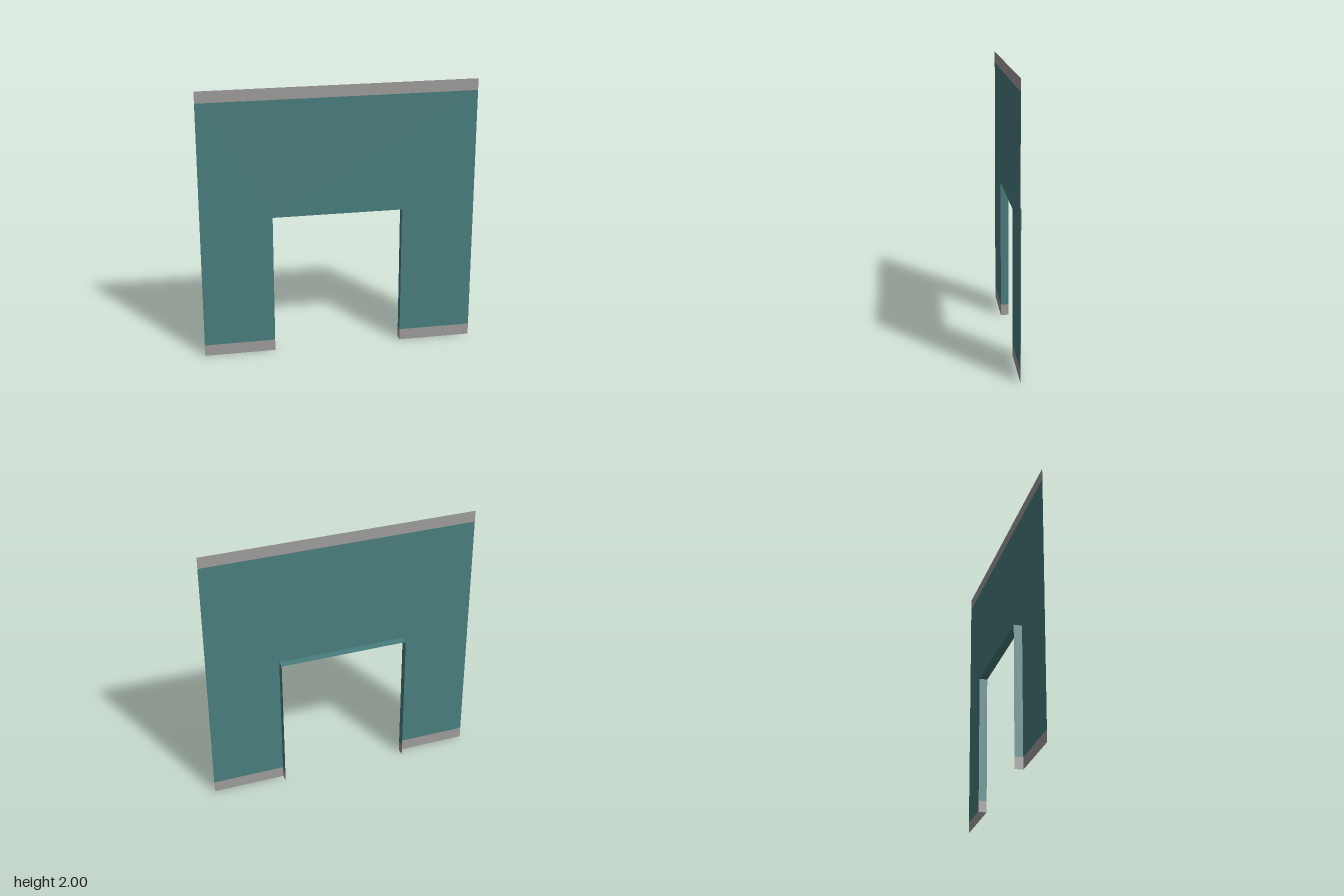
import * as THREE from 'three';

const FRONT = 0.03, DEPTH = 0.06;
const LEFT = 0.465, RIGHT = -0.48, HEAD = 1.05; // doorway edges
const SKIRT = 0.085, CORNICE = 1.915, TOP = 2;

export function createModel() {
  const group = new THREE.Group();
  const paint = new THREE.MeshStandardMaterial({ color: 0x4a7f7f, side: THREE.DoubleSide });
  paint.name = 'teal paint';
  const trim = new THREE.MeshStandardMaterial({ color: 0xa09e9d, side: THREE.DoubleSide });
  trim.name = 'grey trim';

  const add = (name, geometry, material, x, y, z) => {
    const mesh = new THREE.Mesh(geometry, material);
    mesh.name = name;
    mesh.position.set(x, y, z);
    group.add(mesh);
    return mesh;
  };

  // Wall sheet around the doorway
  const outline = [
    [-1, SKIRT], [RIGHT, SKIRT], [RIGHT, HEAD], [LEFT, HEAD],
    [LEFT, SKIRT], [1, SKIRT], [1, CORNICE], [-1, CORNICE],
  ].map(([x, y]) => new THREE.Vector2(x, y));
  add('wall', new THREE.ShapeGeometry(new THREE.Shape(outline)), paint, 0, 0, FRONT);

  // Trim bands along the top and the foot of the wall
  const band = (name, x0, x1, y0, y1) =>
    add(name, new THREE.PlaneGeometry(x1 - x0, y1 - y0), trim, (x0 + x1) / 2, (y0 + y1) / 2, FRONT);
  band('cornice', -1, 1, CORNICE, TOP);
  band('rightSkirting', -1, RIGHT, 0, SKIRT);
  band('leftSkirting', LEFT, 1, 0, SKIRT);

  // Doorway reveal, running back from the wall sheet
  for (const [side, x, turn] of [['left', LEFT, -1], ['right', RIGHT, 1]]) {
    for (const [part, y0, y1, material] of [['Jamb', SKIRT, HEAD, paint], ['JambFoot', 0, SKIRT, trim]]) {
      const jamb = add(side + part, new THREE.PlaneGeometry(DEPTH, y1 - y0), material, x, (y0 + y1) / 2, 0);
      jamb.rotation.y = turn * Math.PI / 2;
    }
  }
  const lintel = add('lintel', new THREE.PlaneGeometry(LEFT - RIGHT, DEPTH), paint, (LEFT + RIGHT) / 2, HEAD, 0);
  lintel.rotation.x = Math.PI / 2;

  return group;
}
